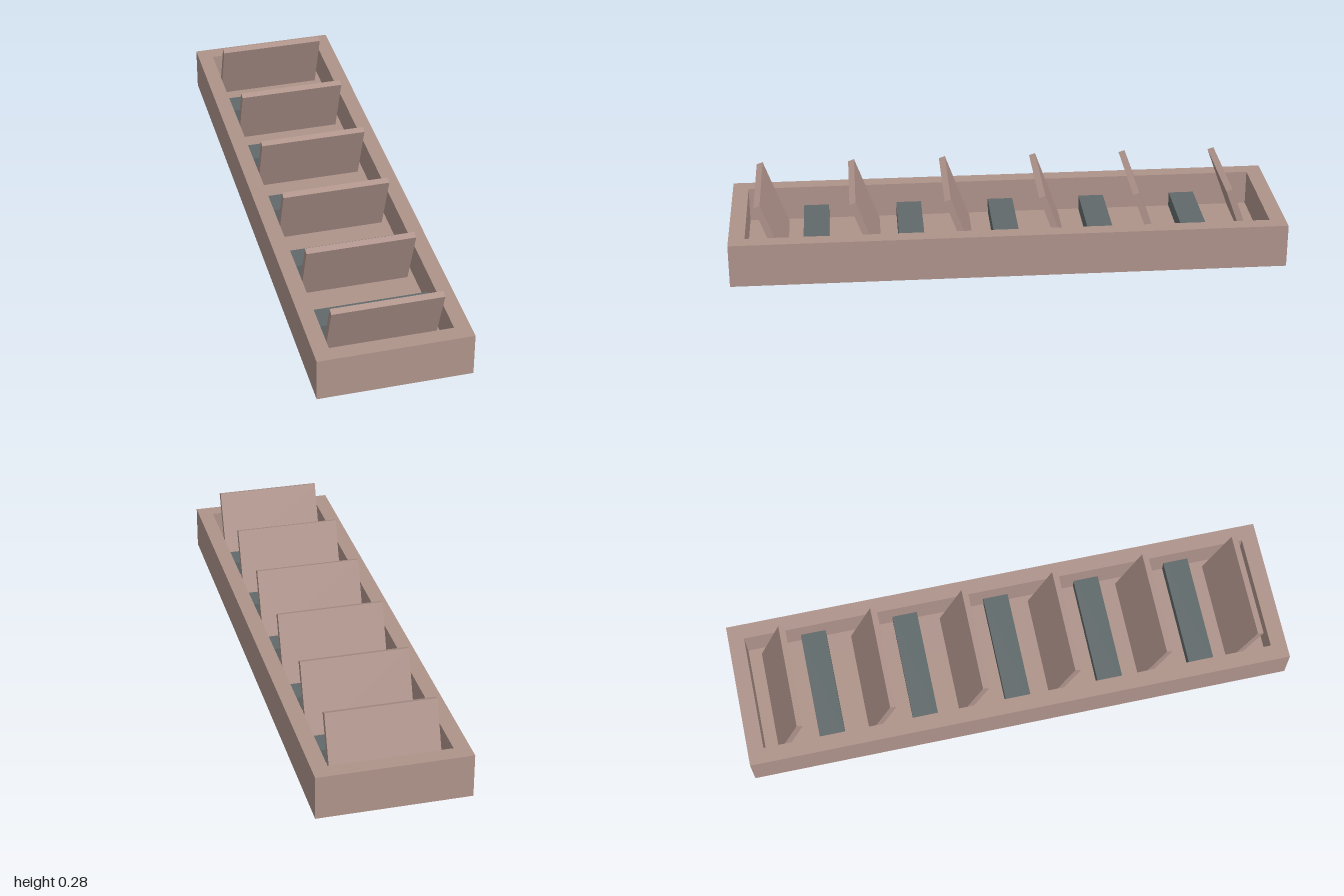
import * as THREE from 'three';

const wood = new THREE.MeshStandardMaterial({ color: 0xae938a, side: THREE.DoubleSide });
wood.name = 'dusty brown';
const metal = new THREE.MeshStandardMaterial({ color: 0x60696b });
metal.name = 'slate grey';

// Rectangular rings joined by flat walls; the last ring is capped
function ringShell(rings) {
  const pos = [];
  const corners = ([hx, y, hz]) => [[-hx, y, hz], [hx, y, hz], [hx, y, -hz], [-hx, y, -hz]];
  const quad = (a, b, c, d) => pos.push(...a, ...b, ...c, ...a, ...c, ...d);
  for (let i = 0; i < rings.length - 1; i++) {
    const lo = corners(rings[i]), hi = corners(rings[i + 1]);
    for (let k = 0; k < 4; k++) {
      const n = (k + 1) % 4;
      quad(lo[k], lo[n], hi[n], hi[k]);
    }
  }
  quad(...corners(rings[rings.length - 1]));
  const geo = new THREE.BufferGeometry();
  geo.setAttribute('position', new THREE.Float32BufferAttribute(pos, 3));
  geo.computeVertexNormals();
  return geo;
}

export function createModel() {
  const model = new THREE.Group();
  model.name = 'slattedTray';

  const add = (name, geo, mat, x, y, z, tilt = 0) => {
    const mesh = new THREE.Mesh(geo, mat);
    mesh.name = name;
    mesh.position.set(x, y, z);
    mesh.rotation.x = tilt;
    model.add(mesh);
  };

  // Tray: outer wall, flat rim, inner wall and sunken floor, open underneath
  add('tray', ringShell([
    [0.27, 0.005, 1],
    [0.27, 0.165, 1],
    [0.214, 0.165, 0.942],
    [0.214, 0.036, 0.942],
  ]), wood, 0, 0, 0);

  // Cross bars between the slats
  const bar = new THREE.BoxGeometry(0.535, 0.083, 0.093);
  for (let i = -2; i <= 2; i++) add('crossBar', bar, metal, 0, 0.0485, i * 0.346);

  // Slats leaning forward, passing through the floor
  const slat = new THREE.BoxGeometry(0.388, 0.289, 0.0235);
  for (let i = 0; i < 6; i++) {
    add('slat', slat, wood, -0.003, 0.14, 0.8455 - i * 0.338, THREE.MathUtils.degToRad(20));
  }
  return model;
}
